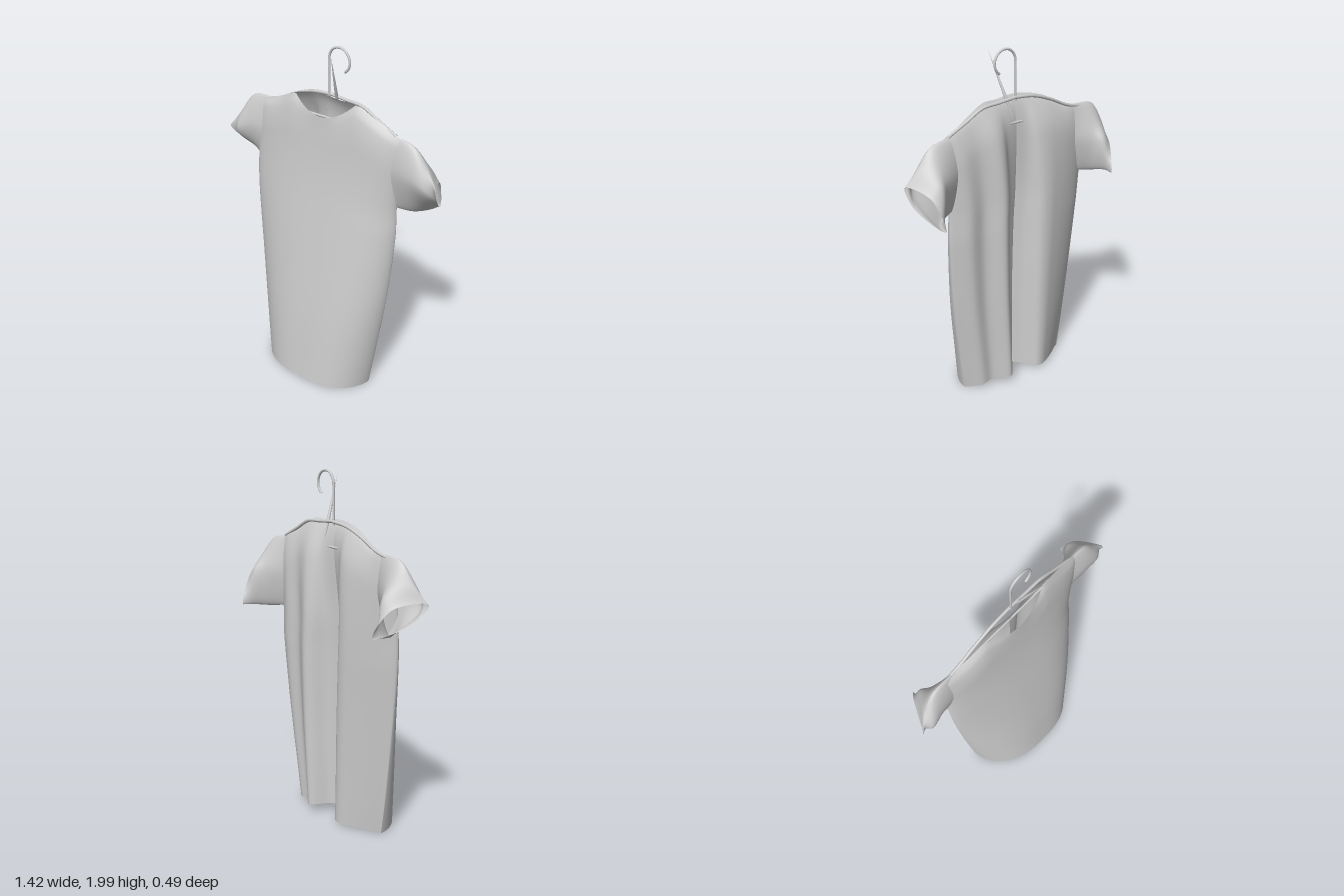
import * as THREE from 'three';

const V = (x, y, z) => new THREE.Vector3(x, y, z);
const { lerp } = THREE.MathUtils;

// Smooth curve through [position, value] pairs
function smooth(points) {
  const n = points.length;
  const slope = points.map((_, i) => {
    const a = points[Math.max(0, i - 1)], b = points[Math.min(n - 1, i + 1)];
    return (b[1] - a[1]) / (b[0] - a[0]);
  });
  return (x) => {
    if (x <= points[0][0]) return points[0][1];
    if (x >= points[n - 1][0]) return points[n - 1][1];
    let i = 0;
    while (x > points[i + 1][0]) i++;
    const [x0, y0] = points[i], [x1, y1] = points[i + 1];
    const h = x1 - x0, t = (x - x0) / h, t2 = t * t, t3 = t2 * t;
    return y0 * (2 * t3 - 3 * t2 + 1) + y1 * (3 * t2 - 2 * t3)
      + h * (slope[i] * (t3 - 2 * t2 + t) + slope[i + 1] * (t3 - t2));
  };
}

// Garment measurements by height
const sideRight = smooth([[0, -0.38], [0.2, -0.41], [0.6, -0.46], [1, -0.5], [1.2, -0.51], [1.6, -0.52]]);
const sideLeft = smooth([[0, 0.34], [0.2, 0.37], [0.6, 0.425], [1, 0.455], [1.2, 0.455], [1.6, 0.5]]);
const frontZ = smooth([[0, 0.245], [0.4, 0.197], [0.8, 0.135], [1.2, 0.07], [1.4, 0.045], [1.6, 0.03], [1.73, 0.022]]);
const seamRight = smooth([[0, 0], [0.6, 0], [1.1, -0.005], [1.4, -0.03], [1.7, -0.04]]);
const seamLeft = smooth([[0, 0.01], [0.5, -0.02], [1.1, -0.055], [1.4, -0.045], [1.7, -0.04]]);
const seamZ = (t, y) => lerp(seamRight(y), seamLeft(y), (t + 1) / 2);
const backZ = smooth([[0, -0.11], [1, -0.1], [1.4, -0.085], [1.6, -0.062], [1.73, -0.035]]);
const foldDepth = smooth([[0, 1], [0.8, 0.95], [1.2, 0.8], [1.5, 0.45], [1.73, 0]]);

// Shoulder line by x, and the cloth folds of each back panel by t = -1..1
const shoulder = smooth([[-0.53, 1.575], [-0.35, 1.62], [-0.22, 1.685], [-0.1, 1.72], [0, 1.73],
  [0.1, 1.722], [0.2, 1.72], [0.35, 1.65], [0.5, 1.58]]);
const rightFold = smooth([[-1, -0.05], [-0.8, -0.08], [-0.5, -0.118], [-0.34, -0.13], [-0.22, -0.11], [-0.13, -0.045], [0, 0]]);
const leftFold = smooth([[0, 0], [0.16, -0.05], [0.26, -0.125], [0.36, -0.148], [0.58, -0.1], [0.8, -0.122], [1, -0.09]]);

function neckline(x) {
  const u = (x + 0.01) / 0.21;
  return Math.abs(u) < 1 ? Math.min(shoulder(x), 1.61 + (u < 0 ? 0.072 : 0.11) * u * u) : shoulder(x);
}

// Sheet of cloth: a grid moved by a rule of (u, v)
function sheet(name, material, nu, nv, rule) {
  const geometry = new THREE.PlaneGeometry(1, 1, nu, nv);
  const pos = geometry.attributes.position, uv = geometry.attributes.uv;
  for (let i = 0; i < pos.count; i++) {
    const p = rule(uv.getX(i), uv.getY(i));
    pos.setXYZ(i, p.x, p.y, p.z);
  }
  geometry.computeVertexNormals();
  const mesh = new THREE.Mesh(geometry, material);
  mesh.name = name;
  return mesh;
}

// One body panel between t0 and t1 across the garment
function panel(name, material, t0, t1, top, hem, depth, topZ) {
  return sheet(name, material, 60, 60, (u, v) => {
    const a0 = Math.asin(t0), a1 = Math.asin(t1);
    const t = Math.sin(a0 + (a1 - a0) * u), s = (t + 1) / 2;
    const yTop = top(-0.52 + 1.02 * s), y0 = hem(t);
    const y = y0 + (yTop - y0) * v;
    const x = lerp(sideRight(y), sideLeft(y), s);
    const k = Math.max(0, (v - 0.88) / 0.12);
    const close = 1 - Math.sqrt(Math.max(0, 1 - k * k));
    return V(x, y, lerp(depth(t, y), topZ(x), close));
  });
}

// Sleeve lofted through rings of four points: top, front, bottom, back
function sleeve(name, material, rings) {
  const loops = rings.map((r) => new THREE.CatmullRomCurve3(r.map((p) => V(...p)), true, 'centripetal'));
  return sheet(name, material, 44, 22, (u, v) =>
    new THREE.CatmullRomCurve3(loops.map((r) => r.getPoint(u % 1))).getPoint(v));
}

function wire(name, material, path, segments, radius) {
  const mesh = new THREE.Mesh(new THREE.TubeGeometry(path, segments, radius, 10), material);
  mesh.name = name;
  return mesh;
}

export function createModel() {
  const model = new THREE.Group();
  model.name = 'shirtOnHanger';
  const grey = new THREE.MeshStandardMaterial({ color: 0xcccccc, side: THREE.DoubleSide });
  grey.name = 'light grey';

  // Shirt body: a full front and two back panels that fold inward at the centre
  const round = (t, p, q) => Math.pow(Math.max(0, 1 - Math.pow(Math.abs(t), p)), q);
  const shirt = new THREE.Group();
  shirt.name = 'shirt';
  const backDepth = (fold) => (t, y) => {
    const hemLift = 0.05 * Math.max(0, 1 - y) * t * t;
    const z = lerp(backZ(y), fold(t), foldDepth(y)) + hemLift, seam = seamZ(t, y);
    return seam + (z - seam) * round(t, 6, 0.5);
  };
  const ridge = (x) => -0.045 + 0.04 * round(Math.min(1, Math.abs(x) / 0.4), 2, 1);
  shirt.add(
    panel('shirtFront', grey, -1, 1, neckline, (t) => 0.008 + 0.01 * round(t, 2, 1),
      (t, y) => seamZ(t, y) + (frontZ(y) - seamZ(t, y)) * round(t, t < 0 ? 2.4 : 3, 0.6),
      (x) => ridge(x) + 0.033 * round(Math.min(1, Math.abs(x + 0.01) / 0.21), 2, 1)),
    panel('backPanelRight', grey, -1, 0, shoulder, (t) => 0.008 + 0.02 * round(t, 2, 1),
      backDepth(rightFold), ridge),
    panel('backPanelLeft', grey, 0, 1, shoulder, (t) => 0.008 + 0.05 * round(t, 3, 1),
      backDepth(leftFold), ridge),
    sleeve('sleeveLeft', grey, [
      [[0.38, 1.6, -0.045], [0.4, 1.4, -0.015], [0.42, 1.19, -0.05], [0.38, 1.4, -0.07]],
      [[0.55, 1.575, -0.05], [0.55, 1.4, 0], [0.53, 1.175, -0.1], [0.52, 1.4, -0.14]],
      [[0.635, 1.48, -0.055], [0.65, 1.36, -0.012], [0.59, 1.18, -0.175], [0.58, 1.4, -0.175]],
      [[0.708, 1.385, -0.03], [0.69, 1.28, -0.085], [0.61, 1.185, -0.245], [0.645, 1.35, -0.17]],
    ]),
    sleeve('sleeveRight', grey, [
      [[-0.4, 1.6, -0.045], [-0.42, 1.4, -0.01], [-0.46, 1.19, -0.04], [-0.4, 1.4, -0.065]],
      [[-0.56, 1.58, -0.045], [-0.56, 1.4, 0.01], [-0.53, 1.185, -0.08], [-0.51, 1.4, -0.125]],
      [[-0.645, 1.47, -0.035], [-0.65, 1.35, 0.022], [-0.57, 1.2, -0.16], [-0.56, 1.4, -0.16]],
      [[-0.71, 1.37, 0.015], [-0.67, 1.275, -0.055], [-0.565, 1.205, -0.232], [-0.62, 1.35, -0.15]],
    ]),
  );
  model.add(shirt);

  // Hanger: hook, sloping arms and cross bar
  const hanger = new THREE.Group();
  hanger.name = 'hanger';
  const hookPoints = [V(-0.005, 1.7, -0.042), V(-0.005, 1.78, -0.042), V(-0.005, 1.86, -0.042)];
  for (let i = 0; i <= 10; i++) {
    const a = Math.PI - (i / 10) * Math.PI * 1.32;
    hookPoints.push(V(0.064 + 0.069 * Math.cos(a), 1.924 + 0.069 * Math.sin(a), -0.042));
  }
  hanger.add(wire('hook', grey, new THREE.CatmullRomCurve3(hookPoints), 70, 0.007));
  for (const [name, end] of [['armLeft', 0.44], ['armRight', -0.5]]) {
    const arm = new THREE.CatmullRomCurve3([0, 0.25, 0.5, 0.75, 1]
      .map((f) => V(end * f, shoulder(end * f) - 0.008, -0.047)));
    hanger.add(wire(name, grey, arm, 30, 0.009));
  }
  hanger.add(wire('crossBar', grey, new THREE.LineCurve3(V(-0.5, 1.57, -0.045), V(0.44, 1.59, -0.045)), 1, 0.007));
  model.add(hanger);

  // Thin spike through the neck, pointed at both ends
  const from = V(0.035, 1.62, -0.075), to = V(0.095, 1.98, 0.065);
  const length = from.distanceTo(to);
  const spike = new THREE.Mesh(new THREE.LatheGeometry([[0, 0], [0.009, 0.3], [0.007, 0.5], [0, 1]]
    .map(([r, h]) => new THREE.Vector2(r, h * length)), 10), grey);
  spike.name = 'spike';
  spike.position.copy(from);
  spike.quaternion.setFromUnitVectors(V(0, 1, 0), to.clone().sub(from).normalize());
  model.add(spike);
  return model;
}
